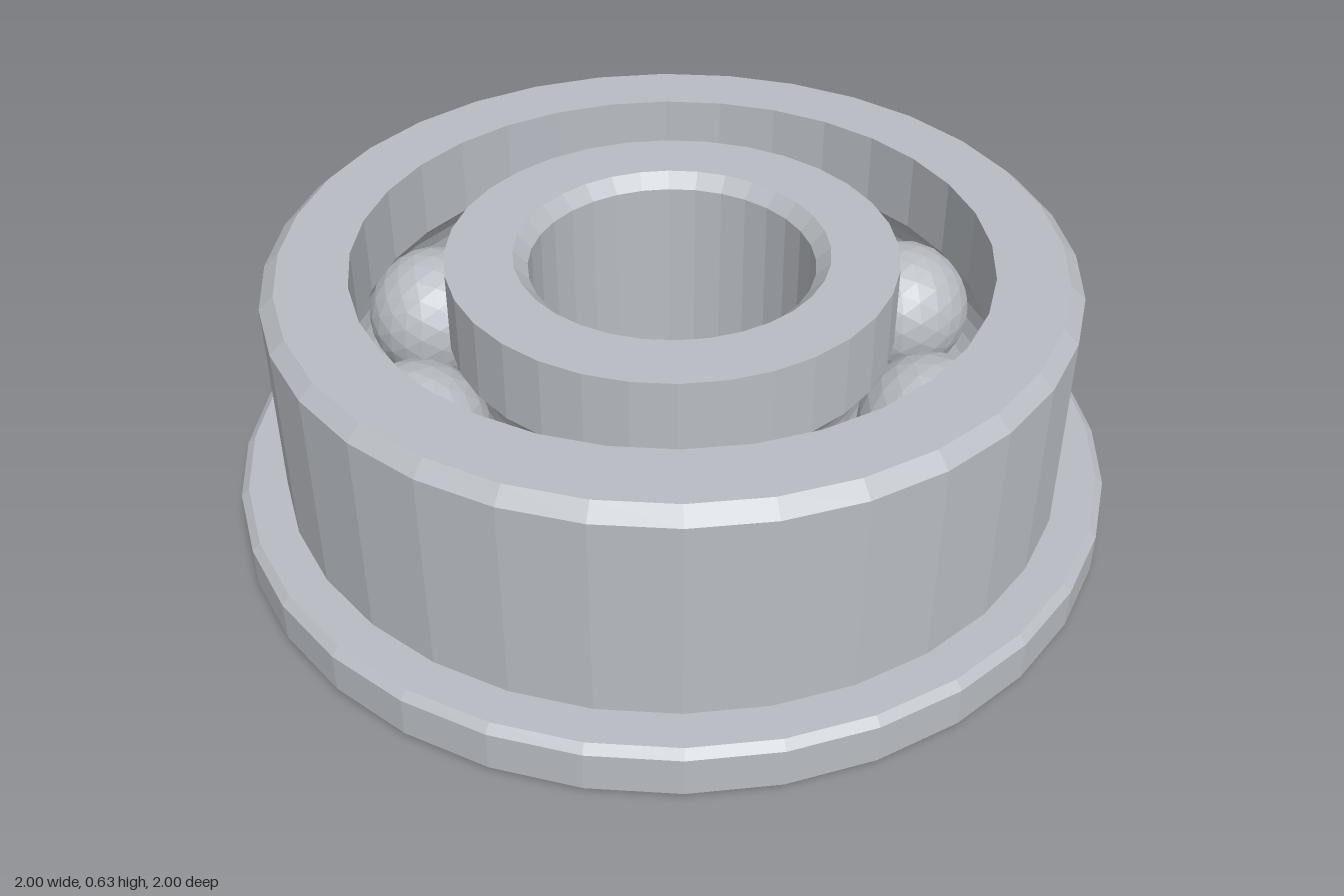
import * as THREE from 'three';

const SEGMENTS = 32, HEIGHT = 0.63, MID = HEIGHT / 2;
const PITCH = 0.605, BALL_R = 0.16, BALLS = 8;
const OUTER_BORE = 0.705, INNER_RIM = 0.5;

// Bakes flat facet normals into a geometry
function faceted(geometry) {
  const g = geometry.index ? geometry.toNonIndexed() : geometry;
  g.computeVertexNormals();
  return g;
}

// Ball groove: arc around the ball centre, leaving the wall at radius wallR
function groove(wallR, upward) {
  const out = Math.sign(wallR - PITCH), r = BALL_R + 0.003;
  const half = Math.acos(Math.abs(wallR - PITCH) / r);
  const points = [];
  for (let i = 0; i <= 8; i++) {
    const a = half * (i / 4 - 1) * (upward ? 1 : -1);
    points.push([PITCH + out * r * Math.cos(a), MID + r * Math.sin(a)]);
  }
  return points;
}

// Revolves a closed [radius, height] profile, listed anticlockwise
function ring(name, profile, material) {
  const points = [...profile, profile[0]].map(([r, y]) => new THREE.Vector2(r, y));
  const mesh = new THREE.Mesh(faceted(new THREE.LatheGeometry(points, SEGMENTS)), material);
  mesh.name = name;
  return mesh;
}

export function createModel() {
  const model = new THREE.Group();
  model.name = 'flangedBallBearing';
  const steel = new THREE.MeshStandardMaterial({ color: 0xb8bcc2 });
  steel.name = 'steel';

  // Outer race with bottom flange and chamfered edges
  model.add(ring('outerRace', [
    [OUTER_BORE, 0], [0.985, 0], [1, 0.015], [1, 0.108], [0.982, 0.125],
    [0.895, 0.125], [0.895, 0.6], [0.862, HEIGHT], [OUTER_BORE, HEIGHT],
    ...groove(OUTER_BORE, false),
  ], steel));

  // Inner race with chamfered bore
  model.add(ring('innerRace', [
    [0.35, 0], [INNER_RIM, 0],
    ...groove(INNER_RIM, true),
    [INNER_RIM, HEIGHT], [0.35, HEIGHT], [0.318, HEIGHT - 0.032], [0.318, 0.032],
  ], steel));

  // Ball set
  const balls = new THREE.Group();
  balls.name = 'balls';
  const ballGeometry = faceted(new THREE.IcosahedronGeometry(BALL_R, 3));
  for (let i = 0; i < BALLS; i++) {
    const a = (i / BALLS) * Math.PI * 2;
    const ball = new THREE.Mesh(ballGeometry, steel);
    ball.name = 'ball';
    ball.position.set(PITCH * Math.cos(a), MID, PITCH * Math.sin(a));
    balls.add(ball);
  }
  model.add(balls);
  return model;
}
